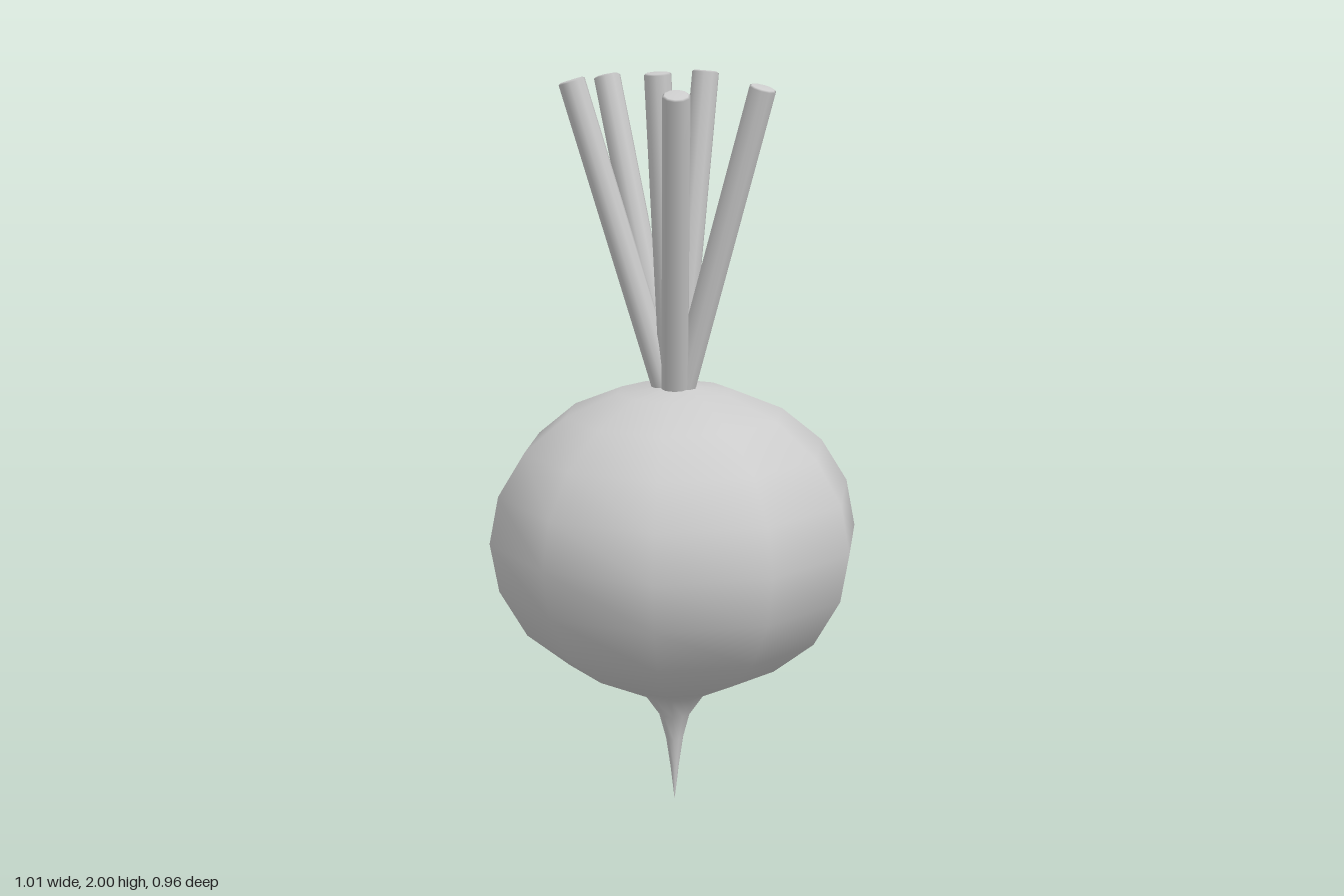
import * as THREE from 'three';

const material = new THREE.MeshStandardMaterial({ color: 0xcccccc, side: THREE.DoubleSide });

// Lathe with a corner on the +x axis; profile runs bottom to top as [radius, y]
function turned(name, profile, sides) {
  const points = profile.map(([r, y]) => new THREE.Vector2(r, y));
  const mesh = new THREE.Mesh(new THREE.LatheGeometry(points, sides, Math.PI / 2), material);
  mesh.name = name;
  return mesh;
}

// Straight stalk between two points, capped at both ends
function stalk(base, tip) {
  const from = new THREE.Vector3(...base);
  const along = new THREE.Vector3(...tip).sub(from);
  const length = along.length(), r = 0.036;
  const mesh = turned('stalk', [[0, 0], [r, 0], [r, length - 0.004], [r * 0.85, length], [0, length]], 10);
  mesh.position.copy(from);
  mesh.quaternion.setFromUnitVectors(new THREE.Vector3(0, 1, 0), along.normalize());
  return mesh;
}

export function createModel() {
  const group = new THREE.Group();
  group.name = 'rootVegetable';

  // Bulb: tapering tail root that flares into a rounded body
  const profile = [
    [0, 0], [0.012, 0.1], [0.024, 0.18], [0.043, 0.25], [0.085, 0.31], [0.17, 0.35],
    [0.291, 0.407], [0.405, 0.497], [0.479, 0.624],
  ];
  for (let i = 0; i <= 5; i++) {
    const a = (i * Math.PI) / 10;
    profile.push([i === 5 ? 0 : 0.503 * Math.cos(a), 0.757 + 0.415 * Math.sin(a)]);
  }
  group.add(turned('bulb', profile, 10));

  // Leaf stalks fanning out from the crown
  const stalks = new THREE.Group();
  stalks.name = 'stalks';
  const tips = [
    [-0.255, 1.972, -0.1], [-0.138, 1.972, -0.225], [0.1, 1.992, -0.08],
    [0.195, 1.968, 0.17], [-0.057, 1.965, 0.297], [-0.05, 1.997, 0.025],
  ];
  for (const [x, y, z] of tips) {
    stalks.add(stalk([x * 0.02, 1.1, z * 0.02], [x, y, z]));
  }
  group.add(stalks);
  return group;
}
